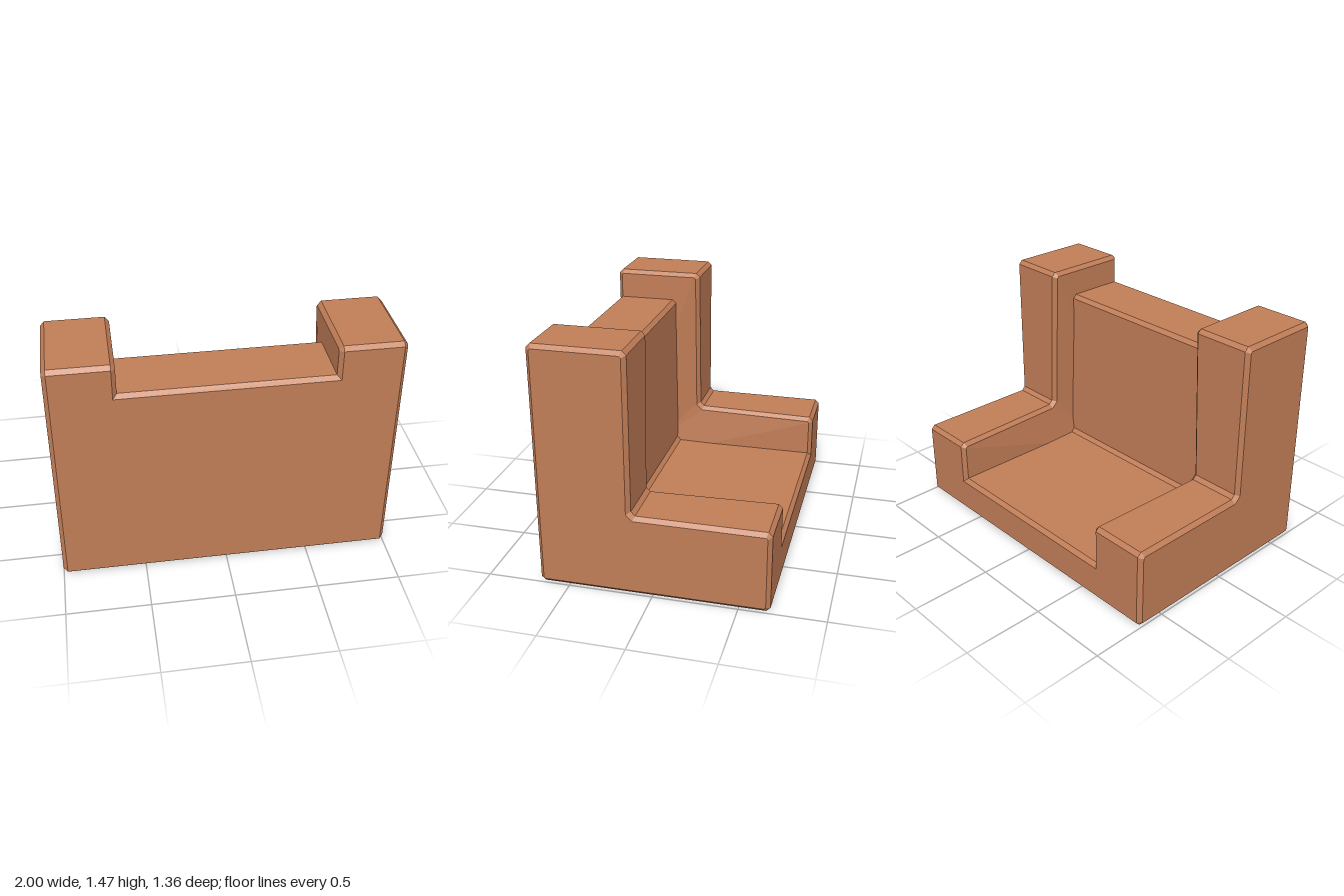
import * as THREE from 'three';

const BEVEL = 0.024;

// Closed outline with every corner cut by c
function chamferedShape(points, c) {
  const shape = new THREE.Shape();
  const n = points.length;
  points.forEach((p, i) => {
    const here = new THREE.Vector2(...p);
    [points[(i + n - 1) % n], points[(i + 1) % n]].forEach((q, k) => {
      const dir = new THREE.Vector2(...q).sub(here).setLength(c);
      const v = here.clone().add(dir);
      if (i === 0 && k === 0) shape.moveTo(v.x, v.y);
      else shape.lineTo(v.x, v.y);
    });
  });
  shape.closePath();
  return shape;
}

// Side profile (drawn in -z, y) pushed along x from x0 to x1
function profileAlongX(points, x0, x1, bevel) {
  const geo = new THREE.ExtrudeGeometry(chamferedShape(points, BEVEL), {
    depth: x1 - x0 - 2 * bevel,
    bevelEnabled: bevel > 0,
    bevelThickness: bevel,
    bevelSize: bevel,
    bevelOffset: -bevel,
    bevelSegments: 1,
  });
  geo.rotateY(Math.PI / 2);
  geo.translate(x0 + bevel, 0, 0);
  return geo;
}

// The inner wall of each side spreads slightly towards the seat
function spreadInnerWall(geo) {
  const pos = geo.attributes.position;
  for (let i = 0; i < pos.count; i++) {
    const x = pos.getX(i), y = pos.getY(i), z = pos.getZ(i);
    if (x > 0.8 || y > 1 || z > 0.5) continue;
    const t = THREE.MathUtils.clamp((z + 0.68) / 0.8, 0, 1);
    pos.setX(i, x + THREE.MathUtils.lerp(0.01, 0.04, t));
  }
  geo.computeVertexNormals();
  return geo;
}

export function createModel() {
  const model = new THREE.Group();
  model.name = 'armchair';
  const clay = new THREE.MeshStandardMaterial({ color: 0xc17d57 });
  clay.name = 'terracotta';

  // Seat and backrest in one piece
  const seat = new THREE.Mesh(profileAlongX([
    [-0.68, 0], [0.68, 0], [0.68, 0.24], [-0.28, 0.24], [-0.28, 1.28], [-0.68, 1.28],
  ], -0.69, 0.69, 0), clay);
  seat.name = 'seatAndBackrest';
  model.add(seat);

  // Armrest with its tall post, mirrored
  const sideGeo = spreadInnerWall(profileAlongX([
    [-0.68, 0], [0.68, 0], [0.68, 0.5], [-0.12, 0.5], [-0.12, 1.465], [-0.68, 1.465],
  ], 0.61, 1, BEVEL));
  for (const side of [1, -1]) {
    const arm = new THREE.Mesh(sideGeo, clay);
    arm.name = side > 0 ? 'leftArmAndPost' : 'rightArmAndPost';
    arm.scale.x = side;
    model.add(arm);
  }
  return model;
}
